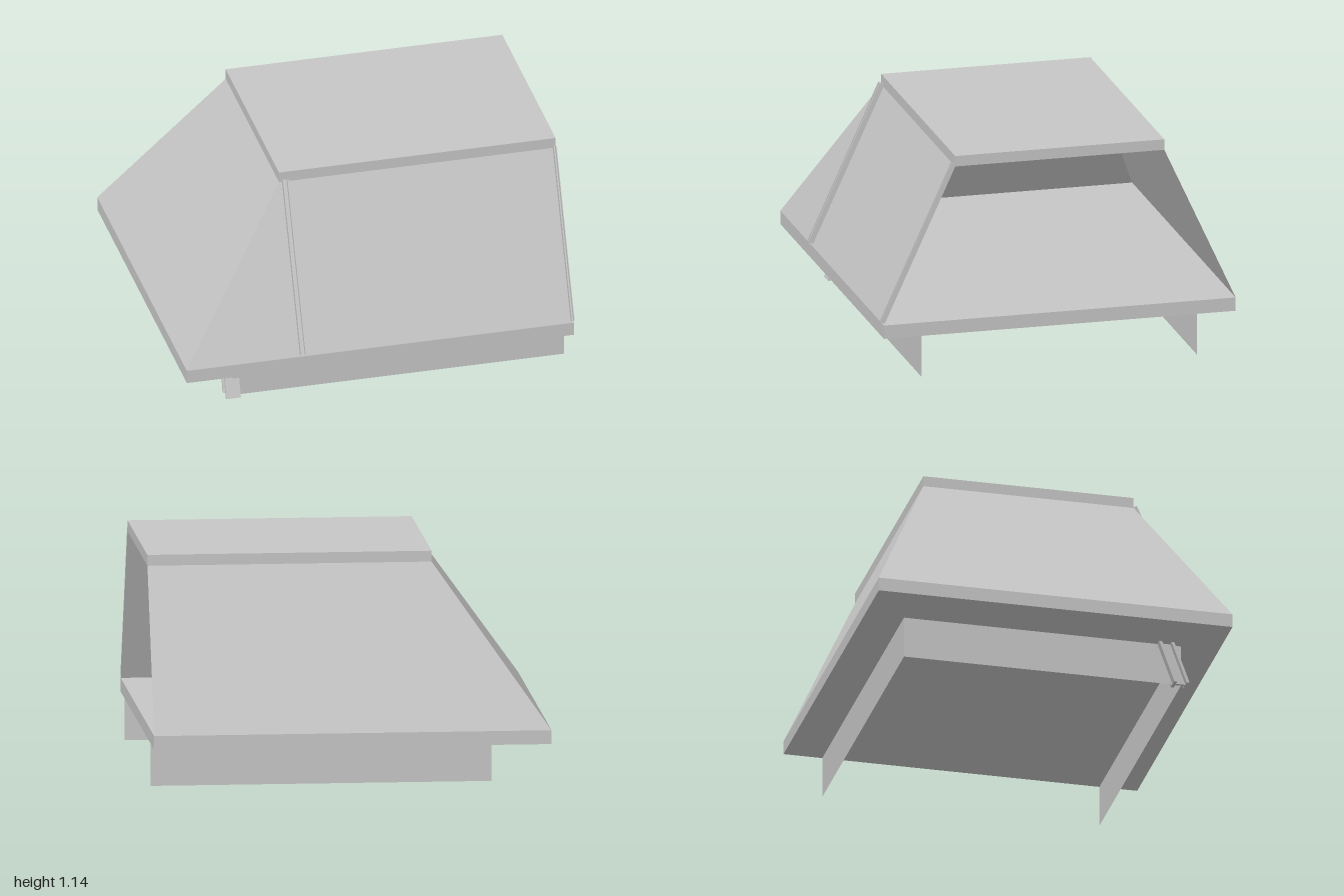
import * as THREE from 'three';

export function createModel() {
  const model = new THREE.Group();
  const grey = new THREE.MeshStandardMaterial({ color: 0xc6c6c6, side: THREE.DoubleSide });
  grey.name = 'light grey';

  const add = (name, geometry, parent = model) => {
    const mesh = new THREE.Mesh(geometry, grey);
    mesh.name = name;
    parent.add(mesh);
    return mesh;
  };
  // Box given by its lower and upper limits on each axis
  const box = (name, x0, x1, y0, y1, z0, z1) =>
    add(name, new THREE.BoxGeometry(x1 - x0, y1 - y0, z1 - z0))
      .position.set((x0 + x1) / 2, (y0 + y1) / 2, (z0 + z1) / 2);
  // Flat four-cornered sheet, corners counter-clockwise from outside
  const sheet = (name, a, b, c, d) => {
    const g = new THREE.BufferGeometry();
    g.setAttribute('position', new THREE.Float32BufferAttribute([a, b, c, a, c, d].flat(), 3));
    g.computeVertexNormals();
    add(name, g);
  };
  // Straight beam: outline in x and z (local), running up the y axis
  const beam = (outline, length) => {
    const shape = new THREE.Shape(outline.map(([x, z]) => new THREE.Vector2(x, -z)));
    return new THREE.ExtrudeGeometry(shape, { depth: length, bevelEnabled: false }).rotateX(-Math.PI / 2);
  };

  // Floor slab and roof slab
  const floorTop = 0.285, roofBottom = 1.09;
  box('floorSlab', -1, 1, 0.215, floorTop, -0.92, 0.905);
  box('roofSlab', -0.43, 1, roofBottom, 1.145, -0.55, 0.535);

  // Sloping walls; the +x end is open
  const low = { fl: [-1, floorTop, 0.905], fr: [1, floorTop, 0.905], bl: [-1, floorTop, -0.92], br: [1, floorTop, -0.92] };
  const top = { fl: [-0.43, roofBottom, 0.535], fr: [1, roofBottom, 0.535], bl: [-0.43, roofBottom, -0.55], br: [1, roofBottom, -0.55] };
  sheet('frontWall', low.fl, low.fr, top.fr, top.fl);
  sheet('backWall', low.br, low.bl, top.bl, top.br);
  sheet('endWall', low.bl, low.fl, top.fl, top.bl);

  // Thin skirt under the floor, open at +x
  const sx = -0.715, sf = 0.71, sb = -0.72, sy = 0.215;
  sheet('frontSkirt', [sx, 0, sf], [1, 0, sf], [1, sy, sf], [sx, sy, sf]);
  sheet('backSkirt', [1, 0, sb], [sx, 0, sb], [sx, sy, sb], [1, sy, sb]);
  sheet('endSkirt', [sx, 0, sb], [sx, 0, sf], [sx, sy, sf], [sx, sy, sb]);

  // Channel rails lying on the front wall
  const lean = Math.atan2(0.37, 0.805);
  for (const [x0, x1] of [[-0.415, -0.385], [0.985, 1]]) {
    const w = x1 - x0, t = w * 0.22, h = 0.027;
    const rail = add('frontRail', beam([
      [0, 0], [w, 0], [w, h], [w - t, h], [w - t, 0.005], [t, 0.005], [t, h], [0, h],
    ], 0.885));
    rail.position.set(x0, 0.295, 0.9);
    rail.rotation.x = -lean;
  }

  // Leaning I-section post at the front corner, foot cut level with the ground
  const tilt = 0.35, a = 0.0375, d = 0.037, f = 0.014, web = 0.008;
  const post = beam([
    [-a, -d], [a, -d], [a, -d + f], [web, -d + f], [web, d - f], [a, d - f],
    [a, d], [-a, d], [-a, d - f], [-web, d - f], [-web, -d + f], [-a, -d + f],
  ], 0.254);
  const p = post.attributes.position;
  for (let i = 0; i < p.count; i++) {
    if (p.getY(i) < 0.01) p.setY(i, -p.getZ(i) * Math.tan(tilt));
  }
  post.computeVertexNormals();
  const postMesh = add('cornerPost', post);
  postMesh.position.set(-0.7175, 0, 0.705);
  postMesh.rotation.x = -tilt;

  return model;
}
